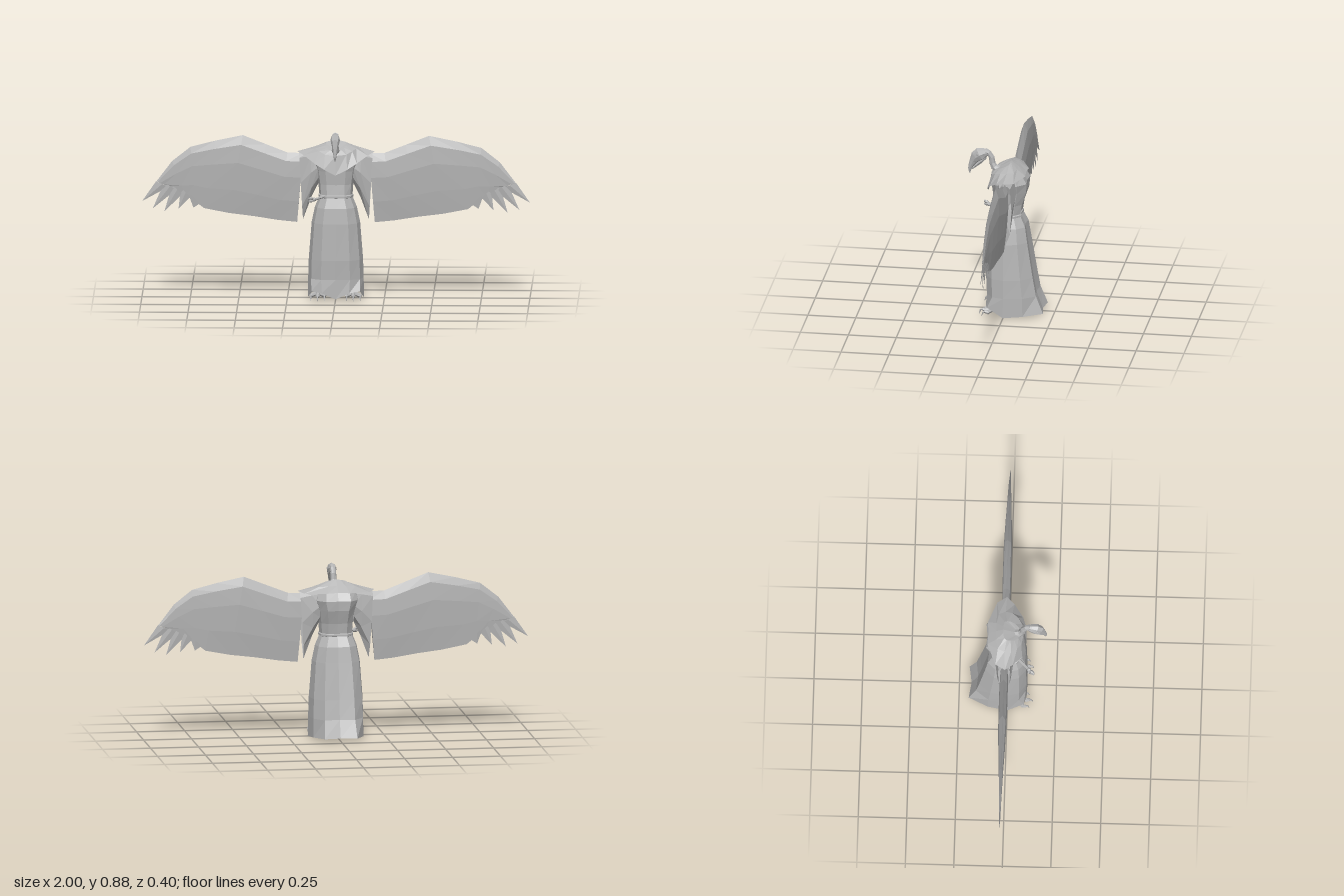
import * as THREE from 'three';

const cloth = new THREE.MeshStandardMaterial({ color: 0xb4b4b4, flatShading: true, side: THREE.DoubleSide });
cloth.name = 'plain grey';

// Skin a list of equal-length closed rings, with optional end caps.
function loft(name, rings, capStart = false, capEnd = false) {
  const n = rings[0].length, pos = rings.flat(2), idx = [];
  for (let i = 0; i < rings.length - 1; i++) {
    for (let j = 0; j < n; j++) {
      const a = i * n + j, b = i * n + (j + 1) % n;
      idx.push(a, b, b + n, a, b + n, a + n);
    }
  }
  const last = (rings.length - 1) * n;
  for (let j = 1; j < n - 1; j++) {
    if (capStart) idx.push(0, j + 1, j);
    if (capEnd) idx.push(last, last + j, last + j + 1);
  }
  const geo = new THREE.BufferGeometry();
  geo.setAttribute('position', new THREE.Float32BufferAttribute(pos, 3));
  geo.setIndex(idx);
  const flat = geo.toNonIndexed();
  flat.computeVertexNormals();
  const mesh = new THREE.Mesh(flat, cloth);
  mesh.name = name;
  return mesh;
}

// Complete a ring from its +x half, listed from front centre to back centre.
const mirrorRing = half => [...half, ...half.slice(1, -1).reverse().map(([x, y, z]) => [-x, y, z])];

// Body cross-section: half width, front depth and back depth at height y.
const section = [[0, 1], [0.52, 0.95], [0.88, 0.6], [1, 0], [0.9, -0.6], [0.55, -1], [0, -0.94]];
const bodyRing = (y, w, front, back) =>
  mirrorRing(section.map(([x, z]) => [x * w, y, z * (z > 0 ? front : back)]));

// Tapered limb along [x, y, z, radiusAcross, radiusAlong] points.
function limb(name, pts, sides = 6) {
  const P = pts.map(p => new THREE.Vector3(p[0], p[1], p[2]));
  const rings = P.map((p, i) => {
    const t = P[Math.min(i + 1, P.length - 1)].clone().sub(P[Math.max(i - 1, 0)]).normalize();
    const v = t.clone().cross(new THREE.Vector3(1, 0, 0)).normalize();
    const u = v.clone().cross(t);
    const [, , , rx, ry = rx] = pts[i];
    return Array.from({ length: sides }, (_, k) => {
      const a = k / sides * Math.PI * 2;
      return p.clone().addScaledVector(u, Math.cos(a) * rx).addScaledVector(v, Math.sin(a) * ry).toArray();
    });
  });
  return loft(name, rings, true, true);
}

function makeRobe() {
  const g = new THREE.Group();
  g.name = 'robe';
  const hem = mirrorRing([[0, 0.01, 0.1], [0.07, 0.04, 0.1], [0.125, 0.05, 0.085], [0.145, 0.005, 0],
    [0.13, 0.012, -0.1], [0.085, 0.018, -0.2], [0, 0.018, -0.187]]);
  g.add(loft('skirt', [hem, bodyRing(0.11, 0.143, 0.098, 0.163), bodyRing(0.21, 0.14, 0.103, 0.145),
    bodyRing(0.4, 0.125, 0.1, 0.115), bodyRing(0.48, 0.108, 0.093, 0.103), bodyRing(0.535, 0.085, 0.075, 0.077)]));
  g.add(loft('torso', [bodyRing(0.535, 0.085, 0.073, 0.075), bodyRing(0.6, 0.09, 0.066, 0.085),
    bodyRing(0.67, 0.1, 0.07, 0.108), bodyRing(0.72, 0.118, 0.075, 0.112), bodyRing(0.765, 0.11, 0.065, 0.085)], false, true));
  g.add(loft('belt', [bodyRing(0.53, 0.085, 0.074, 0.076), bodyRing(0.533, 0.091, 0.08, 0.082),
    bodyRing(0.543, 0.091, 0.08, 0.082), bodyRing(0.547, 0.085, 0.074, 0.076)]));
  // knot and loose ends at the right front of the waist
  g.add(limb('beltCord', [[-0.06, 0.54, 0.06, 0.007], [-0.09, 0.535, 0.09, 0.006], [-0.11, 0.532, 0.11, 0.007]]));
  g.add(limb('beltKnot', [[-0.1, 0.53, 0.1, 0.006], [-0.112, 0.533, 0.112, 0.012], [-0.122, 0.535, 0.122, 0.005]]));
  for (const dy of [0.015, -0.012]) {
    g.add(limb('beltEnd', [[-0.112, 0.533, 0.11, 0.005], [-0.125, 0.533 + dy * 0.5, 0.127, 0.009],
      [-0.135, 0.533 + dy * 0.6, 0.138, 0.005]], 5));
  }
  return g;
}

function makeMantle() {
  const outer = mirrorRing([[0, 0.655, 0.095], [0.06, 0.685, 0.094], [0.11, 0.715, 0.075], [0.165, 0.75, 0.03],
    [0.2, 0.765, -0.01], [0.17, 0.758, -0.06], [0.06, 0.762, -0.105], [0, 0.765, -0.1]]);
  const middle = mirrorRing([[0, 0.755, 0.08], [0.055, 0.76, 0.072], [0.085, 0.775, 0.05], [0.105, 0.785, 0.02],
    [0.11, 0.79, -0.015], [0.095, 0.79, -0.05], [0.045, 0.792, -0.06], [0, 0.795, -0.06]]);
  const collar = mirrorRing([[0, 0.775, 0.06], [0.03, 0.78, 0.055], [0.045, 0.79, 0.035], [0.052, 0.8, 0.015],
    [0.052, 0.808, -0.005], [0.045, 0.815, -0.018], [0.02, 0.82, -0.024], [0, 0.822, -0.024]]);
  return loft('mantle', [outer, middle, collar], false, true);
}

function makeHead() {
  const g = new THREE.Group();
  g.name = 'head';
  g.add(limb('neck', [[0, 0.765, 0.035, 0.024], [0, 0.783, 0.066, 0.019], [0, 0.805, 0.076, 0.016],
    [0, 0.835, 0.08, 0.015], [0, 0.86, 0.096, 0.015], [0, 0.868, 0.115, 0.016]], 8));
  g.add(limb('skull', [[0, 0.862, 0.098, 0.012, 0.016], [0, 0.858, 0.117, 0.02, 0.026], [0, 0.848, 0.14, 0.025, 0.036],
    [0, 0.834, 0.16, 0.021, 0.032], [0, 0.81, 0.176, 0.014, 0.02], [0, 0.785, 0.188, 0.01, 0.013],
    [0, 0.765, 0.194, 0.007, 0.009], [0, 0.742, 0.194, 0.002]], 8));
  g.add(limb('lowerBeak', [[0, 0.835, 0.113, 0.012], [0, 0.81, 0.136, 0.014, 0.011],
    [0, 0.787, 0.161, 0.01, 0.008], [0, 0.765, 0.182, 0.003]]));
  for (const s of [-1, 1]) {
    const eye = new THREE.Mesh(new THREE.SphereGeometry(0.005, 6, 4), cloth);
    eye.name = 'eye';
    eye.position.set(s * 0.021, 0.853, 0.152);
    g.add(eye);
  }
  return g;
}

// Wing, sleeve and foot of the left side.
function makeSide(label) {
  const g = new THREE.Group();
  g.name = label;
  // lens-shaped wing slices: top x, top y, bottom x, bottom y, half thickness
  const zc = -0.015;
  const slices = [[0.17, 0.755, 0.2, 0.395, 0.02], [0.25, 0.757, 0.3, 0.405, 0.022], [0.36, 0.8, 0.42, 0.424, 0.022],
    [0.48, 0.847, 0.55, 0.44, 0.021], [0.62, 0.818, 0.68, 0.465, 0.016], [0.75, 0.785, 0.725, 0.5, 0.011],
    [0.845, 0.71, 0.775, 0.53, 0.008], [0.925, 0.605, 0.87, 0.58, 0.004]];
  g.add(loft('wing', slices.map(([tx, ty, bx, by, h]) => {
    const at = (f, d) => [tx + (bx - tx) * f, ty + (by - ty) * f, zc + d * h];
    return [at(0, 0), at(0.12, 0.8), at(0.35, 1), at(0.7, 0.6), at(1, 0), at(0.7, -0.6), at(0.35, -1), at(0.12, -0.8)];
  }), true, true));
  // finger feathers: two root corners and the tip
  const feathers = [[0.927, 0.605, 0.865, 0.575, 1, 0.5], [0.885, 0.6, 0.825, 0.56, 0.945, 0.462],
    [0.845, 0.585, 0.79, 0.54, 0.885, 0.447], [0.8, 0.57, 0.75, 0.525, 0.812, 0.46], [0.765, 0.55, 0.7, 0.49, 0.735, 0.467]];
  for (const [ax, ay, bx, by, tx, ty] of feathers) {
    const mx = (ax + bx) / 2, my = (ay + by) / 2, tip = [tx, ty, zc];
    g.add(loft('fingerFeather', [[[ax, ay, zc], [mx, my, zc + 0.005], [bx, by, zc], [mx, my, zc - 0.005]],
      [tip, tip, tip, tip]]));
  }
  // hanging open sleeve: x and y of top and bottom, half depth
  const sleeve = [[0.085, 0.765, 0.09, 0.6, 0.05], [0.13, 0.765, 0.125, 0.53, 0.046], [0.19, 0.762, 0.17, 0.41, 0.036]];
  g.add(loft('sleeve', sleeve.map(([tx, ty, bx, by, h]) => {
    const at = (f, d) => [tx + (bx - tx) * f, ty + (by - ty) * f, zc + d * h];
    return [at(0, 0), at(0.08, 0.8), at(0.45, 1), at(0.8, 0.75), at(1, 0), at(0.8, -0.75), at(0.45, -1), at(0.08, -0.8)];
  })));
  // clawed foot
  g.add(limb('leg', [[0.075, 0.3, 0.02, 0.02], [0.08, 0.12, 0.02, 0.013], [0.09, 0.035, 0.04, 0.014]]));
  for (const dx of [-0.035, 0, 0.035]) {
    const r = 0.092 + dx, len = dx ? 0.082 : 0.1;
    g.add(limb('toe', [[0.09, 0.03, 0.035, 0.012], [0.09 + dx * 0.5, 0.032, 0.065, 0.011],
      [r, 0.026, len, 0.011], [r, 0.03, len + 0.013, 0.008]]));
    g.add(limb('claw', [[r, 0.03, len + 0.008, 0.008], [r, 0.027, len + 0.023, 0.005], [r, 0.004, len + 0.032, 0.001]], 5));
  }
  g.add(limb('hindToe', [[0.09, 0.03, 0.04, 0.011], [0.09, 0.022, 0.005, 0.009], [0.09, 0.018, -0.015, 0.007], [0.09, 0.004, -0.03, 0.001]]));
  return g;
}

export function createModel() {
  const model = new THREE.Group();
  model.name = 'robedVulture';
  const right = makeSide('rightSide');
  right.scale.x = -1;
  model.add(makeRobe(), makeMantle(), makeHead(), makeSide('leftSide'), right);
  return model;
}
